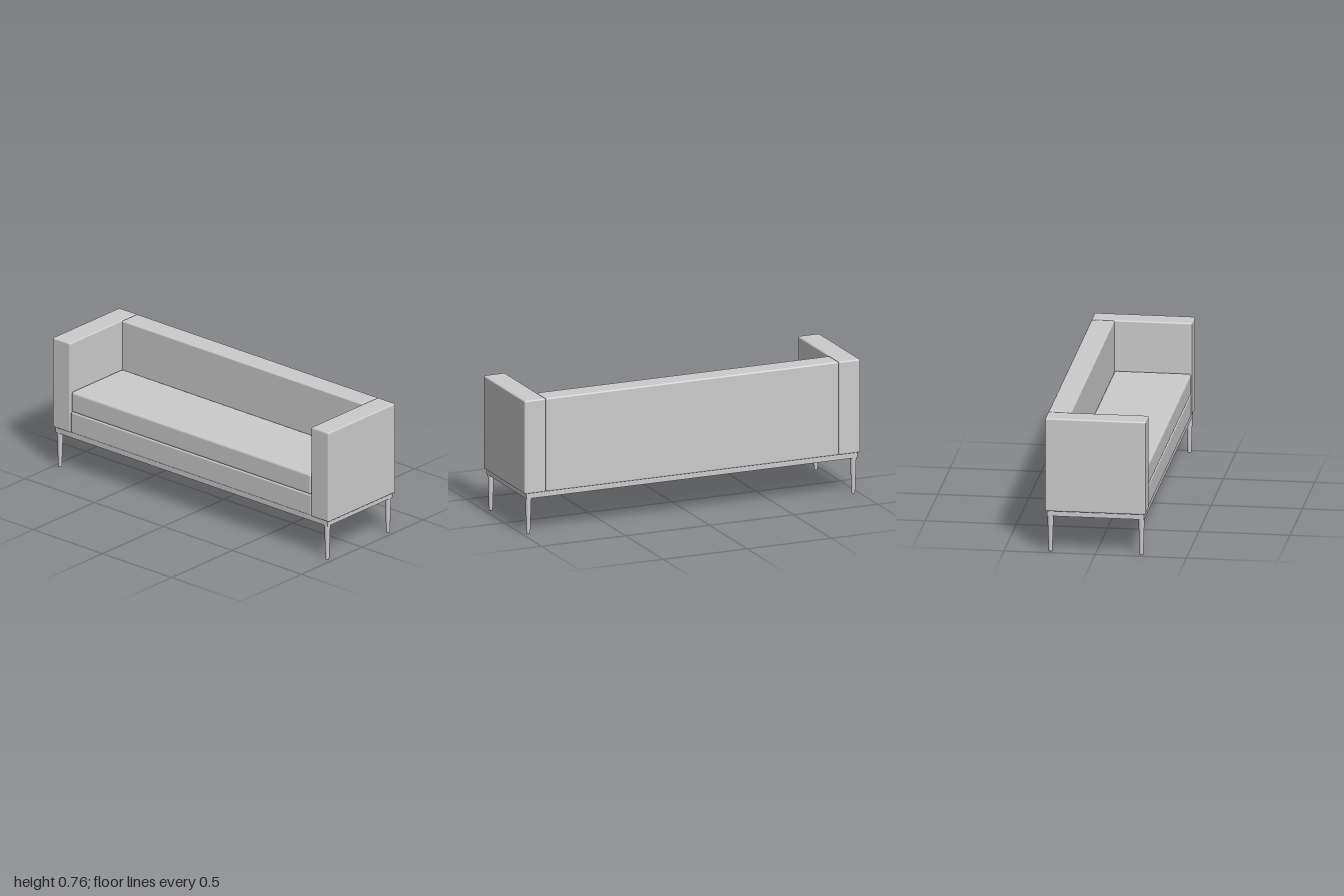
import * as THREE from 'three';
import { RoundedBoxGeometry } from 'three/addons/geometries/RoundedBoxGeometry.js';

export function createModel() {
  const sofa = new THREE.Group();
  sofa.name = 'sofa';
  const material = new THREE.MeshStandardMaterial({ color: 0xcccccc });

  const add = (name, geometry, x = 0, y = 0, z = 0) => {
    const mesh = new THREE.Mesh(geometry, material);
    mesh.name = name;
    mesh.position.set(x, y, z);
    sofa.add(mesh);
    return mesh;
  };

  // Upholstered block given by its minimum and maximum corners
  const pad = (name, [x0, y0, z0], [x1, y1, z1], radius) =>
    add(name, new RoundedBoxGeometry(x1 - x0, y1 - y0, z1 - z0, 4, radius),
      (x0 + x1) / 2, (y0 + y1) / 2, (z0 + z1) / 2);

  // Arms, backrest, seat base and seat cushion
  pad('armLeft', [-0.276, 0.234, 0.872], [0.276, 0.762, 1], 0.009);
  pad('armRight', [-0.276, 0.234, -1], [0.276, 0.762, -0.872], 0.009);
  pad('backrest', [0.148, 0.234, -0.871], [0.275, 0.762, 0.871], 0.009);
  pad('seatBase', [-0.272, 0.235, -0.871], [0.149, 0.357, 0.871], 0.008);
  pad('seatCushion', [-0.273, 0.357, -0.868], [0.149, 0.478, 0.868], 0.014);

  // Open rectangular frame under the upholstery
  const outerX = 0.267, outerZ = 0.985, rail = 0.026;
  const rect = (shape, x, z) => shape
    .moveTo(-x, -z).lineTo(x, -z).lineTo(x, z).lineTo(-x, z).lineTo(-x, -z);
  const outline = new THREE.Shape();
  rect(outline, outerX, outerZ);
  const opening = new THREE.Path();
  rect(opening, outerX - rail, outerZ - rail);
  outline.holes.push(opening);
  const frame = new THREE.ExtrudeGeometry(outline, { depth: 0.032, bevelEnabled: false });
  frame.rotateX(-Math.PI / 2);
  add('frame', frame, 0, 0.204, 0);

  // Slim tapered legs with softened feet and a flare into the frame
  const profile = [
    [0, 0], [0.008, 0], [0.01, 0.002], [0.0105, 0.006],
    [0.0165, 0.193], [0.0175, 0.202], [0.0175, 0.23],
  ].map(([r, y]) => new THREE.Vector2(r, y));
  const leg = new THREE.LatheGeometry(profile, 24);
  for (const [side, x] of [['Back', 0.2495], ['Front', -0.2495]]) {
    for (const [end, z] of [['Left', 0.9675], ['Right', -0.9675]]) {
      add('leg' + side + end, leg, x, 0, z);
    }
  }

  return sofa;
}
